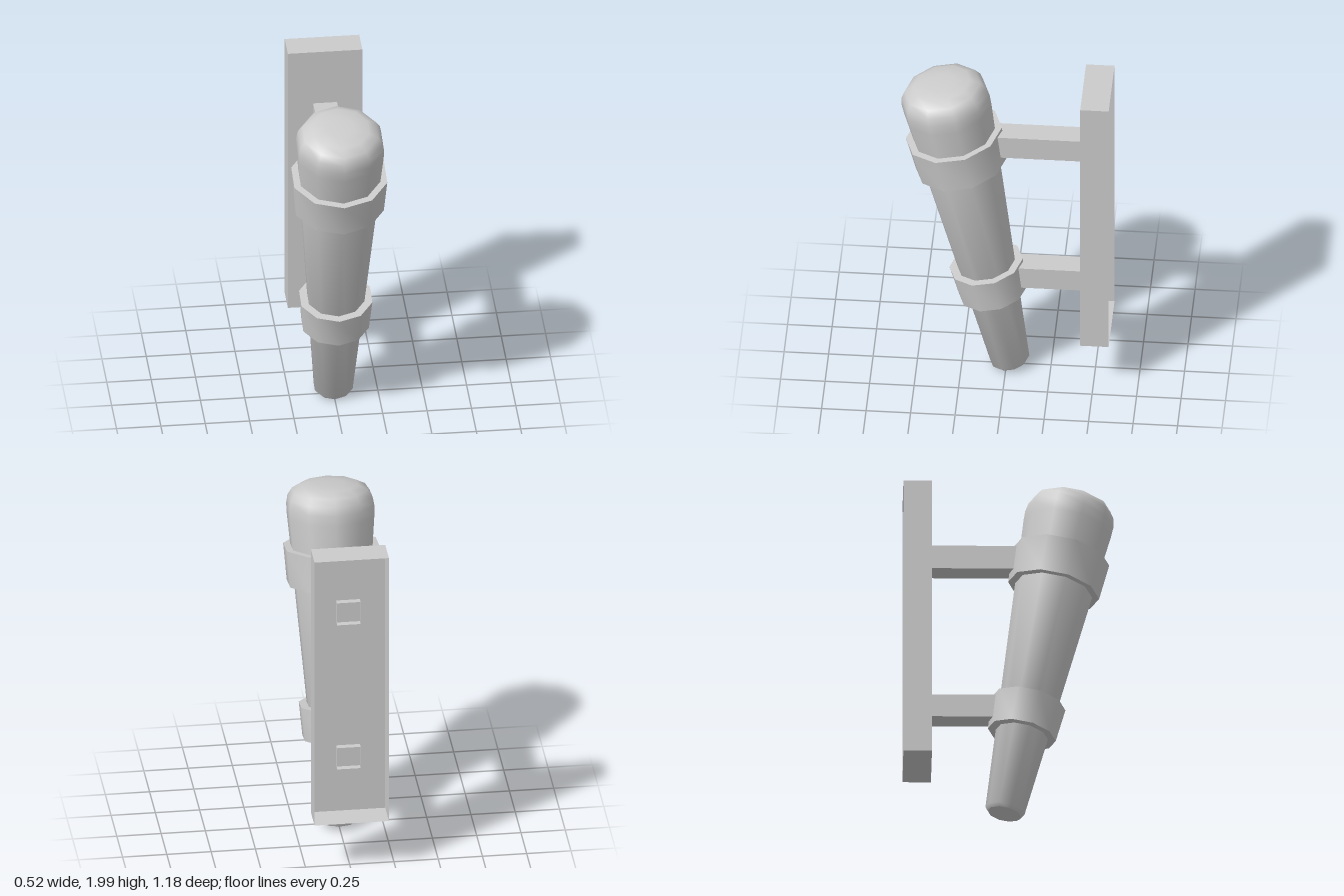
import * as THREE from 'three';
import { toCreasedNormals } from 'three/addons/utils/BufferGeometryUtils.js';

const SIDES = 10;
const TILT = THREE.MathUtils.degToRad(11.3);

export function createModel() {
  const root = new THREE.Group();
  root.name = 'wallTorch';
  const solid = new THREE.MeshStandardMaterial({ color: 0xcccccc });
  const open = new THREE.MeshStandardMaterial({ color: 0xcccccc, side: THREE.DoubleSide });

  // Turned part from [radius, height] pairs, smooth around, sharp at rims
  const turned = (name, profile) => {
    const points = profile.map(([r, y]) => new THREE.Vector2(r, y));
    const geometry = toCreasedNormals(new THREE.LatheGeometry(points, SIDES), 0.85);
    const mesh = new THREE.Mesh(geometry, solid);
    mesh.name = name;
    return mesh;
  };

  // Box without its back face, given by its limits
  const openBox = (name, halfWidth, y0, y1, z0, z1) => {
    const geometry = new THREE.BoxGeometry(2 * halfWidth, y1 - y0, z1 - z0);
    geometry.setIndex(Array.from(geometry.index.array).slice(0, 30));
    const mesh = new THREE.Mesh(geometry, open);
    mesh.name = name;
    mesh.position.set(0, (y0 + y1) / 2, (z0 + z1) / 2);
    return mesh;
  };

  // Flared ring around the shaft
  const ring = (name, y0, y1, r0, r1, inner) =>
    turned(name, [[inner, y0], [r0, y0], [r1, y1], [inner, y1], [inner, y0]]);

  // Leaning torch: tapered shaft with rounded head, held by two rings
  const torch = new THREE.Group();
  torch.name = 'torch';
  torch.position.set(0, 0.03, -0.022);
  torch.rotation.x = TILT;
  torch.add(
    turned('shaft', [
      [0, 0], [0.095, 0], [0.112, 0.02], [0.22, 1.41], [0.236, 1.63], [0.25, 1.8],
      [0.252, 1.86], [0.243, 1.91], [0.217, 1.95], [0.165, 1.977], [0.08, 1.985], [0, 1.987],
    ]),
    ring('lowerRing', 0.5, 0.697, 0.194, 0.21, 0.13),
    ring('upperRing', 1.41, 1.624, 0.26, 0.275, 0.2),
  );
  root.add(torch);

  // Hollow wall plate and the two arms that pass through it
  root.add(
    openBox('wallPlate', 0.21, 0.32, 1.99, -0.59, -0.43),
    openBox('lowerArm', 0.067, 0.6, 0.735, -0.465, -0.05),
    openBox('upperArm', 0.067, 1.515, 1.655, -0.465, 0.06),
  );
  return root;
}
